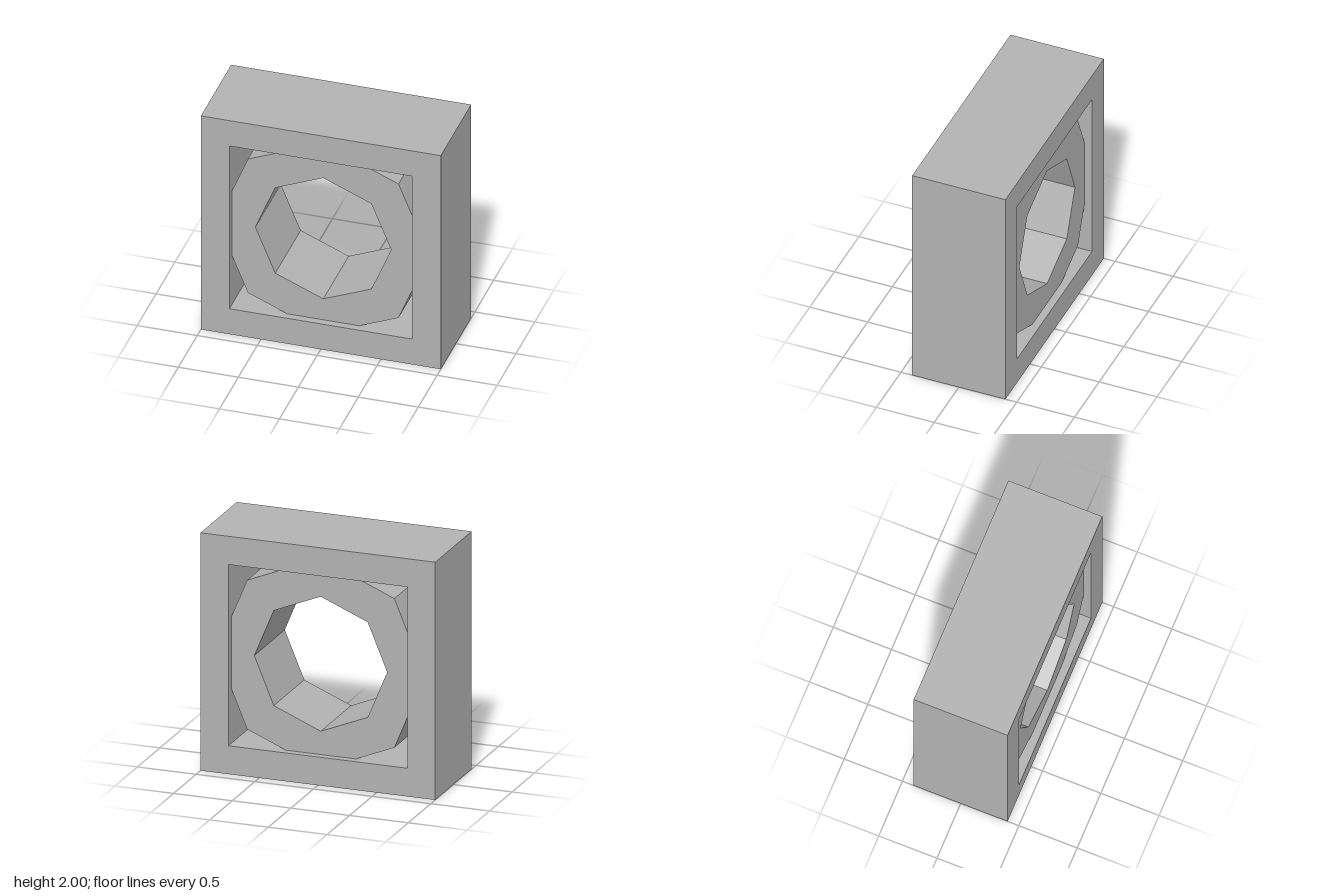
import * as THREE from 'three';

const FRAME_HALF = 1, OPENING_HALF = 0.762, FRAME_DEPTH = 0.806;
const RING_OUTER = 0.887, RING_INNER = 0.566, RING_DEPTH = 0.676;

// Corner points of a regular polygon, the first at the given angle
function polygon(sides, radius, start) {
  return Array.from({ length: sides }, (_, i) => {
    const a = start + (i / sides) * Math.PI * 2;
    return new THREE.Vector2(Math.cos(a) * radius, Math.sin(a) * radius);
  });
}

// Prism along z with a polygonal hole, centred in depth
function hollowPrism(name, outer, inner, depth, material) {
  const shape = new THREE.Shape(outer);
  shape.holes.push(new THREE.Path(inner));
  const geometry = new THREE.ExtrudeGeometry(shape, { depth, bevelEnabled: false });
  geometry.translate(0, 0, -depth / 2);
  const mesh = new THREE.Mesh(geometry, material);
  mesh.name = name;
  mesh.position.y = 1;
  return mesh;
}

export function createModel() {
  const model = new THREE.Group();
  model.name = 'framedRing';
  const grey = new THREE.MeshStandardMaterial({ color: 0xb2b2b2 });
  grey.name = 'grey';

  // Square frame
  const square = (half) => polygon(4, half * Math.SQRT2, Math.PI / 4);
  model.add(hollowPrism('squareFrame', square(FRAME_HALF), square(OPENING_HALF), FRAME_DEPTH, grey));

  // Octagonal ring, slightly recessed, its side corners set into the frame
  model.add(hollowPrism('octagonalRing', polygon(8, RING_OUTER, 0), polygon(8, RING_INNER, 0), RING_DEPTH, grey));

  return model;
}
